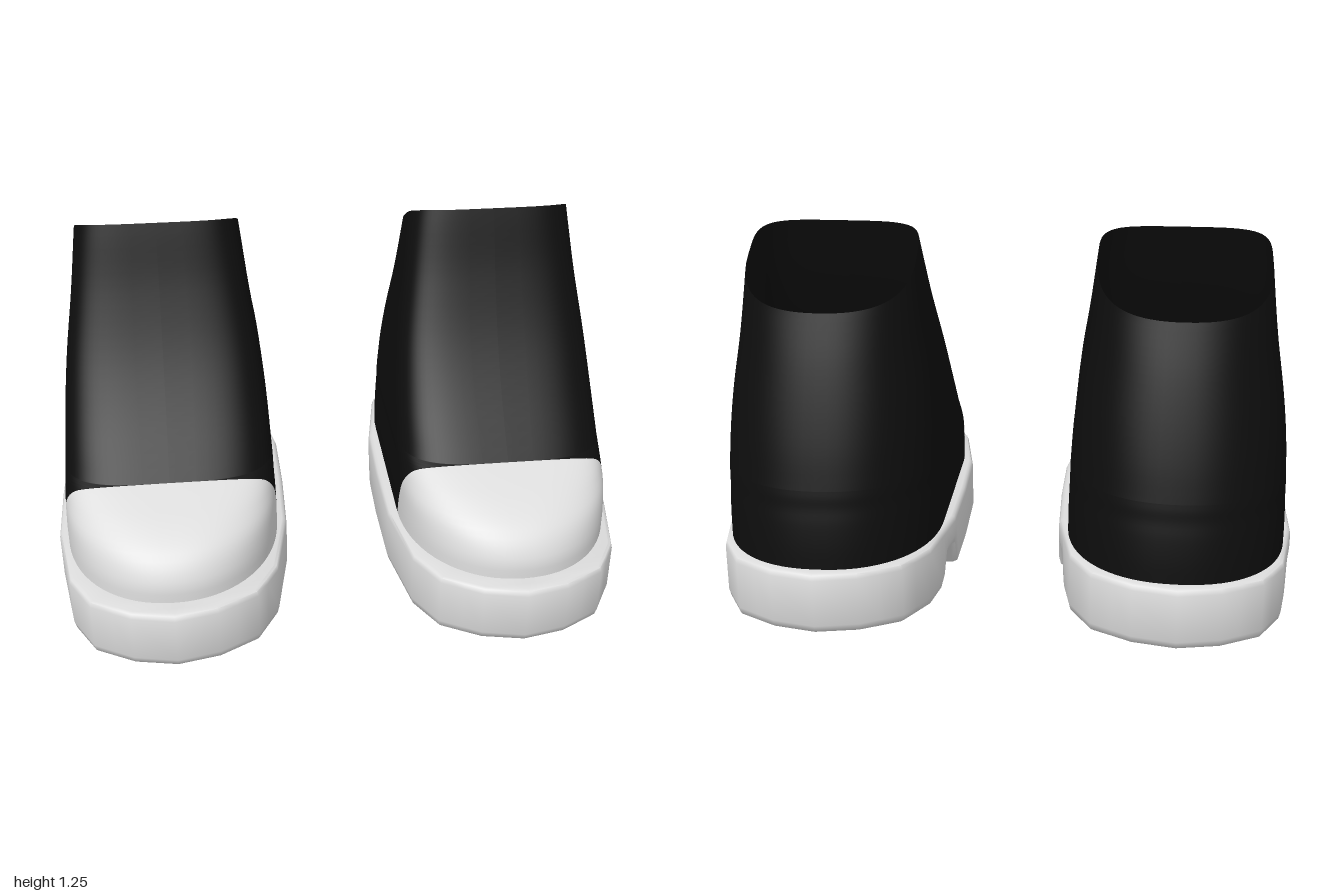
import * as THREE from 'three';
import { toCreasedNormals } from 'three/addons/utils/BufferGeometryUtils.js';

// Surface through rows of points
function skin(rows) {
  const n = rows[0].length, index = [];
  for (let i = 0; i < rows.length - 1; i++) {
    for (let j = 0; j < n - 1; j++) {
      const a = i * n + j, b = a + 1, c = b + n, d = a + n;
      index.push(a, b, c, a, c, d);
    }
  }
  const geo = new THREE.BufferGeometry();
  geo.setAttribute('position', new THREE.Float32BufferAttribute(rows.flat(2), 3));
  geo.setIndex(index);
  geo.computeVertexNormals();
  return geo;
}

// Smooth function through key rows [t, ...values]
function keyed(keys) {
  const size = keys[0].length - 1;
  const curve = new THREE.CubicInterpolant(
    keys.map(k => k[0]), keys.flatMap(k => k.slice(1)), size, new Float32Array(size));
  return t => Array.from(curve.evaluate(t));
}

function lerpTable(table, v) {
  for (let i = 1; i < table.length; i++) {
    const [a, p] = table[i - 1], [b, q] = table[i];
    if (v <= b) return p + (q - p) * Math.max(0, (v - a) / (b - a));
  }
  return table[table.length - 1][1];
}

// Foot slices: height, front z, front arc centre, front squareness, half width, cap edge z, back z
const footAt = keyed([
  [0.21, 0.69, 0.25, 2.1, 0.37, 0.263, -0.72],
  [0.29, 0.68, 0.25, 2.1, 0.37, 0.28, -0.712],
  [0.37, 0.62, 0.24, 2.2, 0.368, 0.305, -0.70],
  [0.42, 0.53, 0.20, 2.4, 0.366, 0.327, -0.69],
  [0.455, 0.44, 0.14, 2.9, 0.366, 0.345, -0.685],
  [0.48, 0.37, 0.10, 3.5, 0.365, 0.37, -0.68],
]);
// Shaft slices: step, front z, front arc centre, front squareness, half width, back z
const shaftAt = keyed([
  [0, 0.37, 0.10, 3.5, 0.365, -0.68],
  [0.2, 0.23, 0.0, 3.7, 0.357, -0.652],
  [0.42, 0.11, -0.08, 3.9, 0.341, -0.617],
  [0.7, 0.0, -0.17, 4, 0.312, -0.568],
  [1, -0.087, -0.26, 4, 0.287, -0.51],
]);

const power = (v, e) => Math.pow(Math.max(0, v), e);
const mirrored = half => half.map(([x, y, z]) => [-x, y, z]).reverse();

function frontPoint(s, angle) {
  return [s.w * power(Math.cos(angle), 2 / s.n), s.y,
    s.mid + (s.front - s.mid) * power(Math.sin(angle), 2 / s.n)];
}

// Ring from the cap edge around the heel and back
function bodyRing(s) {
  const half = [];
  for (let i = 0; i <= 18; i++) half.push(frontPoint(s, s.edge * (1 - i / 18)));
  for (let i = 0; i <= 18; i++) {
    const a = i / 18 * Math.PI / 2;
    half.push([s.w * power(Math.cos(a), 0.9), s.y,
      s.heel + (s.back - s.heel) * power(Math.sin(a), 0.9)]);
  }
  return [...half, ...mirrored(half).slice(1)];
}

// Arc around the toe
function capArc(s) {
  const half = [];
  for (let i = 0; i <= 18; i++) {
    half.push(frontPoint(s, Math.PI / 2 + (s.edge - Math.PI / 2) * i / 18));
  }
  return [...mirrored(half), ...half.slice(1)];
}

function upperGeometries() {
  const body = [], cap = [];
  const steps = 20;
  for (let i = 0; i <= steps; i++) {
    const y = 0.21 + 0.27 * Math.sin(i / steps * Math.PI / 2);
    const [front, mid, n, w, edgeZ, back] = footAt(Math.min(y, 0.48));
    const ratio = Math.min(1, Math.max(0, (edgeZ - mid) / (front - mid)));
    const edge = i === steps ? Math.PI / 2 : Math.asin(Math.min(1, power(ratio, n / 2)));
    const s = { y, front, mid, n, w, edge, back, heel: -0.3 };
    body.push(bodyRing(s));
    cap.push(capArc(s));
  }
  // Shaft rings tilt progressively towards the sloping collar
  for (let i = 1; i <= 20; i++) {
    const v = i / 20;
    const [front, mid, n, w, back] = shaftAt(v);
    const s = { y: 0, front, mid, n, w, edge: Math.PI / 2, back, heel: -0.3 + 0.03 * v };
    body.push(bodyRing(s).map(([x, , z]) => {
      const k = Math.min(1, Math.max(0, (z - back) / (front - back)));
      const ease = 0.5 * k + 0.5 * k * k * (3 - 2 * k);
      return [x, 0.48 + v * (0.55 + 0.215 * ease), z];
    }));
  }
  return [skin(body), skin(cap)];
}

// Sole: half widths along z, and the heel notch under it
const OUTLINE = [[0, 0.41], [0.26, 0.405], [0.53, 0.355], [0.66, 0.28], [0.735, 0.145], [0.765, 0]];
const NOTCH = [[-0.41, 0], [-0.39, 0.015], [-0.36, 0.095], [-0.34, 0.11],
  [-0.26, 0.11], [-0.24, 0.095], [-0.21, 0.015], [-0.19, 0]];

function soleGeometry() {
  const stations = [...OUTLINE.flatMap(([z]) => [z, -z]), ...NOTCH.map(([z]) => z), 0.6, -0.6, 0.7, -0.7];
  const rows = [...new Set(stations.map(z => z + 0))].sort((a, b) => a - b).map(z => {
    const w = lerpTable(OUTLINE, Math.abs(z));
    const base = lerpTable(NOTCH, z);
    const inner = Math.min(w * 0.9, 0.345 * power(1 - power(Math.abs(z) / 0.68, 2.6), 1 / 2.6));
    const pull = Math.pow(z / 0.765, 5);
    const half = [
      [0, base, z - 0.03 * pull],
      [w * 0.94, base, z - 0.03 * pull],
      [w * 0.983, base + 0.01, z - 0.01 * pull],
      [w, base + 0.035, z],
      [w, 0.2, z],
      [w * 0.985, 0.216, z - 0.008 * pull],
      [w * 0.96, 0.22, z - 0.02 * pull],
      [inner, 0.22, z - 0.02 * pull],
    ];
    return [...mirrored(half), ...half.slice(1)];
  });
  return toCreasedNormals(skin(rows), 0.85);
}

export function createModel() {
  const black = new THREE.MeshStandardMaterial({ color: 0x0d0d0d, side: THREE.DoubleSide });
  black.name = 'black fabric';
  const white = new THREE.MeshStandardMaterial({ color: 0xdcdcdc, side: THREE.DoubleSide });
  white.name = 'off-white rubber';

  const [bodyGeo, capGeo] = upperGeometries();
  const parts = [['upper', bodyGeo, black], ['toeCap', capGeo, white], ['sole', soleGeometry(), white]];

  const model = new THREE.Group();
  model.name = 'pairOfBoots';
  for (const [name, x] of [['leftBoot', 0.59], ['rightBoot', -0.59]]) {
    const boot = new THREE.Group();
    boot.name = name;
    boot.position.x = x;
    for (const [part, geo, material] of parts) {
      const mesh = new THREE.Mesh(geo, material);
      mesh.name = part;
      boot.add(mesh);
    }
    model.add(boot);
  }
  return model;
}
